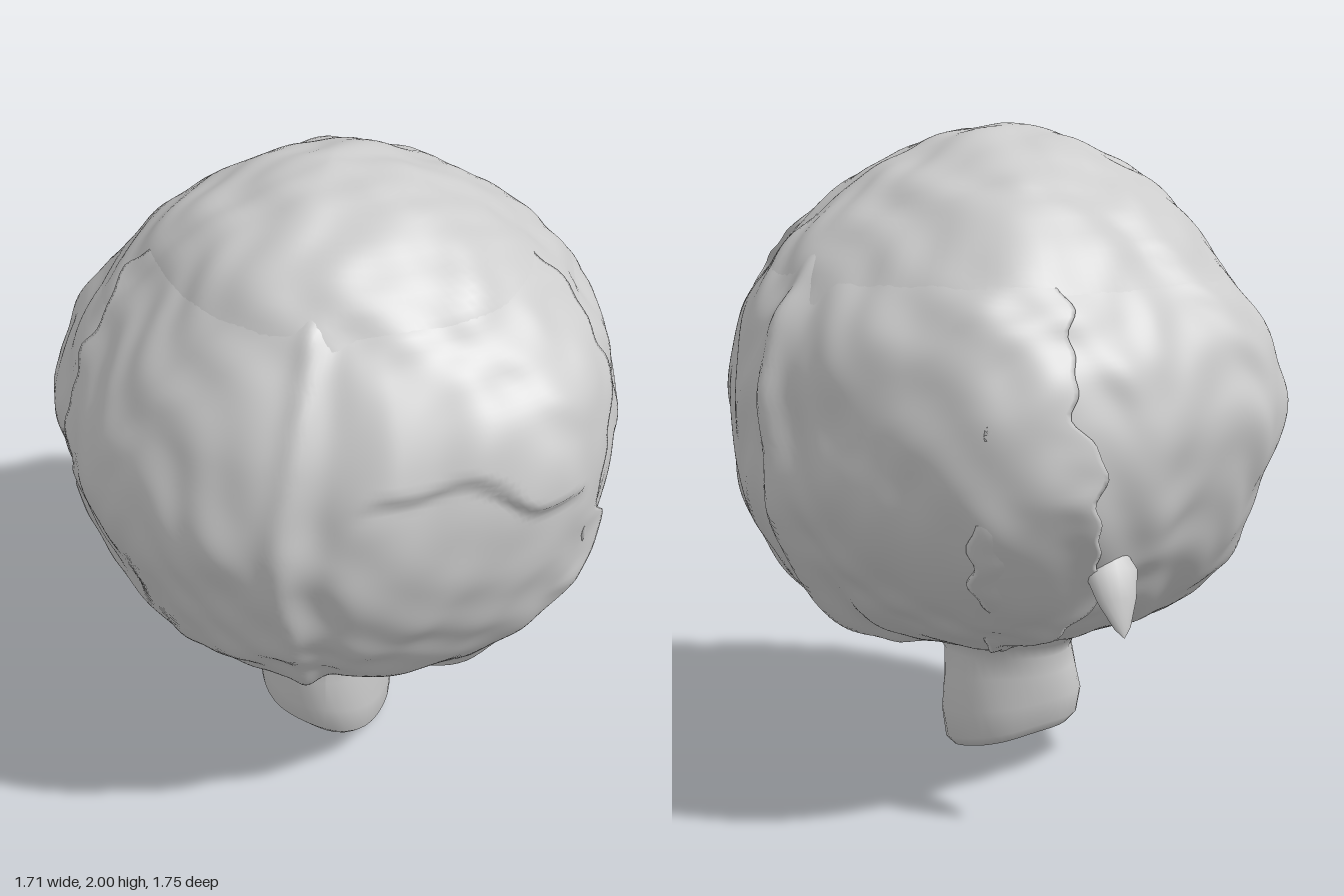
import * as THREE from 'three';
import { mergeVertices } from 'three/addons/utils/BufferGeometryUtils.js';

const { clamp, smoothstep } = THREE.MathUtils;

// Head cross-sections from stem to crown: [x min, x max, z min, z max]
const sections = [
  [-0.15, 0.15, -0.05, 0.27], [-0.3, 0.31, -0.25, 0.38], [-0.55, 0.57, -0.54, 0.57],
  [-0.71, 0.74, -0.74, 0.72], [-0.8, 0.83, -0.86, 0.81], [-0.86, 0.85, -0.86, 0.84],
  [-0.78, 0.82, -0.78, 0.77], [-0.62, 0.67, -0.61, 0.64], [-0.43, 0.46, -0.37, 0.49],
  [-0.2, 0.24, -0.15, 0.26], [0, 0, 0.06, 0.06],
];
// Uneven outline seen from above, every 22.5 degrees from the front towards +x
const outline = [1, 1.01, 1.06, 1.03, 0.99, 0.995, 0.975, 0.965, 1, 0.92, 0.89, 0.97, 0.98, 0.95, 0.98, 1.01];

// Smooth interpolation through equally spaced values
function spline(get, f) {
  const i = Math.floor(f), s = f - i;
  const [p, q, r, w] = [get(i - 1), get(i), get(i + 1), get(i + 2)];
  return q + 0.5 * s * (r - p + s * (2 * p - 5 * q + 4 * r - w + s * (3 * (q - r) + w - p)));
}
const column = (rows, k) => (i) => rows[clamp(i, 0, rows.length - 1)][k];
const bump = (x, width) => Math.exp(-((x / width) ** 2));

function wrinkle(x, y, z) {
  return 0.006 * Math.sin(7 * x + 3 * Math.sin(5 * y)) * Math.sin(8 * y + 2 * z + 1)
    + 0.006 * Math.sin(13 * z + 4 * y + 2 * Math.sin(9 * x)) * Math.sin(11 * x - 6 * y)
    + 0.006 * Math.sin(23 * x + 11 * z) * Math.sin(21 * y + 2 * Math.sin(17 * z));
}

// Point on the head at azimuth a and height parameter t, raised by off
function surfacePoint(a, t, off) {
  const [x0, x1, z0, z1] = [0, 1, 2, 3].map((k) => spline(column(sections, k), t * 10));
  const turn = ((a / (Math.PI * 2)) % 1 + 1) % 1 * 16;
  const m = spline((i) => outline[(i + 16) % 16], turn);
  const p = new THREE.Vector3(
    (x0 + x1) / 2 + (x1 - x0) / 2 * m * Math.sin(a),
    1.2 - 0.8 * Math.cos(Math.PI * t),
    (z0 + z1) / 2 + (z1 - z0) / 2 * m * Math.cos(a));
  const out = new THREE.Vector3(p.x, p.y - 1.2, p.z).normalize();
  return p.addScaledVector(out, off + wrinkle(p.x, p.y, p.z));
}

// Grid of points, rows running upwards and columns towards +a
function gridGeometry(cols, rows, point) {
  const pos = [], index = [];
  for (let r = 0; r <= rows; r++) {
    for (let c = 0; c <= cols; c++) {
      pos.push(...point(c, r).toArray());
      if (r === rows || c === cols) continue;
      const i = r * (cols + 1) + c, j = i + cols + 1;
      index.push(i, i + 1, j, i + 1, j + 1, j);
    }
  }
  const g = new THREE.BufferGeometry();
  g.setAttribute('position', new THREE.Float32BufferAttribute(pos, 3));
  g.setIndex(index);
  const merged = mergeVertices(g, 1e-5);
  merged.computeVertexNormals();
  return merged;
}

// Wrapping leaf: edges lists [start, end] azimuth at each tenth of the height
function leafGeometry({ edges, lift, rib, ribHeight, seed, fold = () => 0 }) {
  const cols = 120, rows = 110, top = (edges.length - 1) / 10;
  return gridGeometry(cols, rows, (c, r) => {
    const t = top * r / rows;
    const ragged = (s) => smoothstep(t, 0.1, 0.3) * (0.03 * Math.sin(38 * t + s)
      + 0.02 * Math.sin(71 * t + 2 * s) + 0.012 * Math.sin(137 * t + s));
    const a0 = spline(column(edges, 0), t * 10) + ragged(seed);
    const a1 = spline(column(edges, 1), t * 10) + ragged(seed + 2);
    // The outermost columns turn inwards to give the edge its thickness
    const u = clamp((c - 1) / (cols - 2), 0, 1);
    const a = a0 + (a1 - a0) * u;
    const fade = 1 - smoothstep(t, top - 0.3, top);
    const low = smoothstep(t, 0.05, 0.18);
    const curl = 0.02 * (bump(u, 0.04) + bump(1 - u, 0.04)) * (0.5 + 0.5 * Math.sin(30 * t + seed))
      * low * (1 - smoothstep(t, 0.42, 0.58));
    const ridge = ribHeight * low * (bump(a - rib(t), 0.05) - 0.5 * bump(a - rib(t) - 0.12, 0.06));
    const off = (c === 0 || c === cols) ? -0.06 : -0.03 + (lift + curl + ridge + fold(a, t)) * fade;
    return surfacePoint(a, t, off);
  });
}

export function createModel() {
  const group = new THREE.Group();
  const material = new THREE.MeshStandardMaterial({ color: 0xcccccc, side: THREE.DoubleSide });
  const add = (name, geometry) => {
    const mesh = new THREE.Mesh(geometry, material);
    mesh.name = name;
    group.add(mesh);
    return mesh;
  };

  // Inner head, reaching the outer surface at the crown
  add('head', gridGeometry(128, 90, (c, r) =>
    surfacePoint(c % 128 / 128 * Math.PI * 2, r / 90, -0.025 + 0.025 * smoothstep(r / 90, 0.55, 0.8))));

  // Outer leaves
  add('leftLeaf', leafGeometry({
    edges: [[3.1, 5.7], [3, 5.65], [3, 5.55], [3, 5.45], [3, 5.4], [3.05, 5.4], [3.1, 5.4], [3.2, 5.3], [3.4, 5]],
    lift: 0.028, rib: () => 4.5, ribHeight: 0.012, seed: 4,
  }));
  add('backLeaf', leafGeometry({
    edges: [[1.95, 2.9], [1.85, 3.1], [1.55, 3.35], [1.2, 3.5], [0.98, 3.45], [0.95, 3.35], [1, 3.35], [1.2, 3.3], [1.3, 3.2]],
    lift: 0.034, rib: (t) => 2.2 - 0.08 * t, ribHeight: 0.03, seed: 1,
  }));
  add('frontLeaf', leafGeometry({
    edges: [[-0.55, 0.4], [-0.6, 0.5], [-0.75, 0.65], [-1, 0.9], [-1.2, 1.02], [-1.15, 1.06], [-1.25, 1.15], [-1.4, 1.35], [-1.4, 1.4], [-1.4, 1.4]],
    lift: 0.05, rib: (t) => -0.16 + 0.1 * Math.abs(t - 0.45), ribHeight: 0.017, seed: 2.5,
    // Torn flap across the upper left of the leaf
    fold: (a, t) => {
      const edge = 0.535 + 0.035 * Math.sin(a * 5) + 0.008 * Math.sin(a * 17);
      return 0.03 * smoothstep(a, 0.02, 0.2) * (1 - smoothstep(a, 0.75, 0.95))
        * smoothstep(t, edge, edge + 0.016) * (1 - smoothstep(t, edge, edge + 0.2));
    },
  }));

  // Torn leaf tip hanging at the back, flattened and leaning outwards
  const tipProfile = [[0, -0.14], [0.025, -0.11], [0.06, -0.03], [0.08, 0.05], [0.05, 0.12], [0, 0.16]];
  const tip = add('leafTip', new THREE.LatheGeometry(tipProfile.map(([r, y]) => new THREE.Vector2(r, y)), 14));
  tip.scale.z = 0.5;
  tip.rotation.set(0.45, 0.37, 0, 'YXZ');
  tip.position.set(-0.27, 0.73, -0.68);

  // Stem with a slanted cut and a flare into the leaves
  const profile = [[0, 0], [0.1, 0], [0.185, 0.005], [0.21, 0.04], [0.22, 0.14], [0.21, 0.26], [0.205, 0.34], [0.22, 0.39], [0.28, 0.44], [0.3, 0.48]];
  const stem = new THREE.LatheGeometry(profile.map(([r, y]) => new THREE.Vector2(r, y)), 40);
  const sp = stem.attributes.position;
  for (let i = 0; i < sp.count; i++) {
    const x = sp.getX(i), y = sp.getY(i), z = sp.getZ(i);
    const a = Math.atan2(x, z), low = 1 - clamp(y / 0.4, 0, 1);
    const k = 1 + 0.03 * Math.sin(3 * a + 9 * y) + 0.02 * Math.sin(5 * a - 14 * y);
    sp.setXYZ(i, x * k - 0.015, Math.max(0, y + low * (0.055 - 0.22 * x - 0.14 * z)), z * k + 0.11);
  }
  add('stem', mergeVertices(stem)).geometry.computeVertexNormals();

  return group;
}
